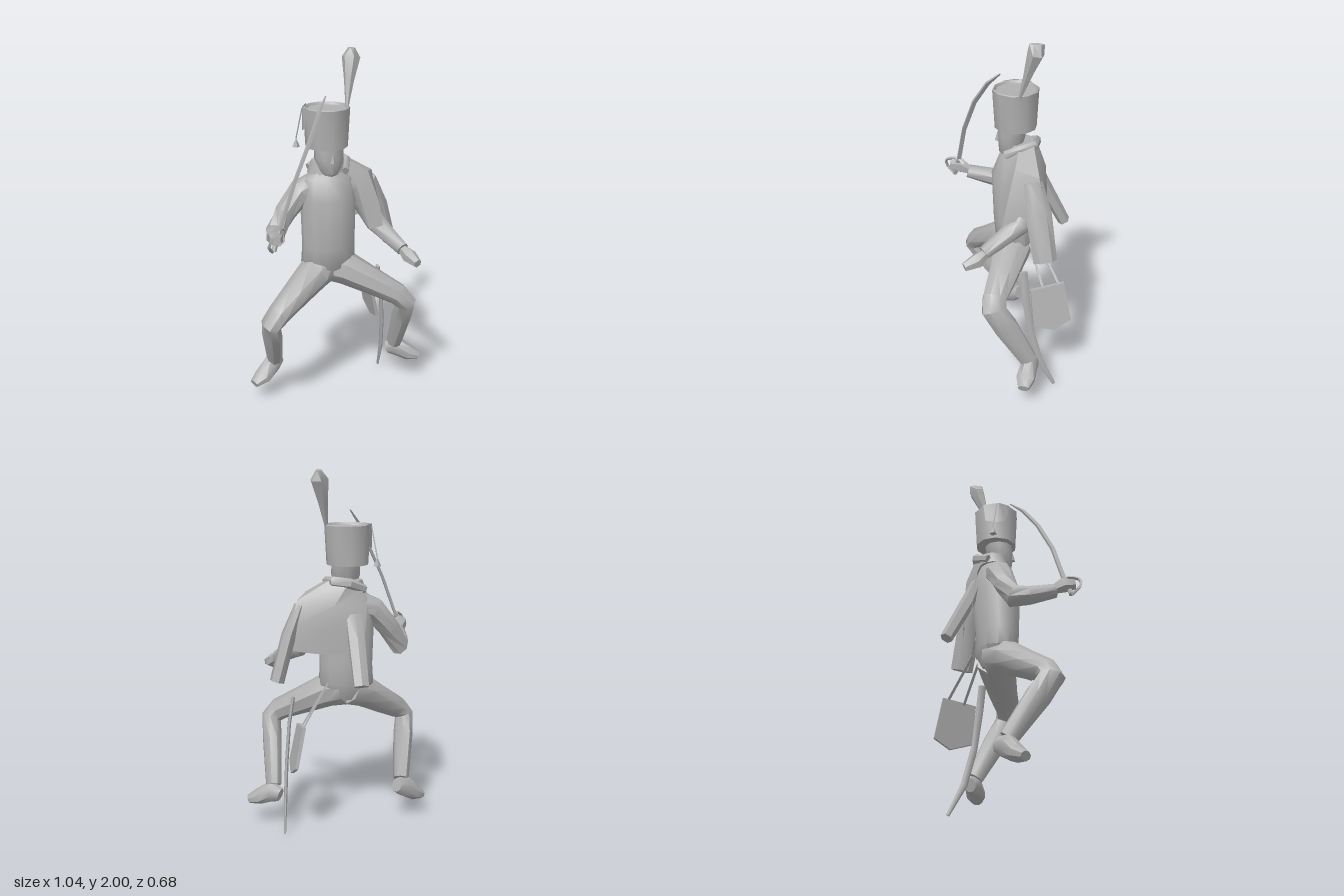
import * as THREE from 'three';
import { toCreasedNormals } from 'three/addons/utils/BufferGeometryUtils.js';

const cloth = new THREE.MeshStandardMaterial({ color: 0xb0b0b0, side: THREE.DoubleSide });
cloth.name = 'plain grey';
const V = (a) => new THREE.Vector3(a[0], a[1], a[2]);
const Z = [0, 0, 1], Y = [0, 1, 0];

export function createModel() {
  const model = new THREE.Group();

  function add(name, geometry, crease = 0.8) {
    const mesh = new THREE.Mesh(toCreasedNormals(geometry, crease), cloth);
    mesh.name = name;
    model.add(mesh);
    return mesh;
  }

  function build(verts, index) {
    const g = new THREE.BufferGeometry();
    g.setAttribute('position', new THREE.Float32BufferAttribute(verts, 3));
    g.setIndex(index);
    return g;
  }

  // Closed limb through rings [x, y, z, radiusA, radiusB], set square to the path
  function limb(name, rings, n = 8, ref = Z, crease = 0.8) {
    const c = rings.map(V), verts = [], index = [], r = V(ref);
    rings.forEach(([, , , a, b], i) => {
      const t = new THREE.Vector3();
      if (i > 0) t.add(c[i].clone().sub(c[i - 1]).normalize());
      if (i < c.length - 1) t.add(c[i + 1].clone().sub(c[i]).normalize());
      t.normalize();
      const u = r.clone().cross(t).normalize(), v = t.clone().cross(u);
      for (let j = 0; j < n; j++) {
        const k = ((j + 0.5) / n) * Math.PI * 2;
        const p = c[i].clone().addScaledVector(u, a * Math.cos(k)).addScaledVector(v, b * Math.sin(k));
        verts.push(p.x, p.y, p.z);
      }
    });
    for (let i = 0; i < c.length - 1; i++) for (let j = 0; j < n; j++) {
      const a = i * n + j, b = i * n + (j + 1) % n;
      index.push(a, b, a + n, b, b + n, a + n);
    }
    const last = (c.length - 1) * n;
    for (let j = 1; j < n - 1; j++) index.push(0, j + 1, j, last, last + j, last + j + 1);
    return add(name, build(verts, index), crease);
  }

  // Open sheet through rows of points
  function sheet(name, rows, crease = 0.6) {
    const m = rows[0].length, index = [];
    for (let i = 0; i < rows.length - 1; i++) for (let j = 0; j < m - 1; j++) {
      const a = i * m + j;
      index.push(a, a + m, a + 1, a + 1, a + m, a + m + 1);
    }
    return add(name, build(rows.flat(2), index), crease);
  }

  // Torso, neck and head
  limb('torso', [
    [-0.05, 0.73, -0.03, 0.07, 0.06], [-0.05, 0.82, -0.02, 0.155, 0.115], [-0.05, 0.93, -0.01, 0.15, 0.115],
    [-0.05, 1.2, -0.02, 0.155, 0.135], [-0.05, 1.31, -0.03, 0.14, 0.1], [-0.05, 1.37, -0.04, 0.07, 0.065],
  ], 12);
  limb('collar', [[-0.05, 1.34, -0.04, 0.11, 0.09], [-0.05, 1.41, -0.04, 0.085, 0.08]], 10);
  limb('head', [
    [-0.05, 1.33, -0.02, 0.05, 0.05], [-0.05, 1.37, 0.01, 0.06, 0.065],
    [-0.05, 1.43, 0.005, 0.08, 0.075], [-0.05, 1.51, -0.005, 0.08, 0.08],
  ], 10);
  const nose = add('nose', new THREE.ConeGeometry(0.016, 0.055, 4), 0.2);
  nose.position.set(-0.05, 1.445, 0.08);

  // Tall hat with recessed crown
  const hat = add('hat', new THREE.LatheGeometry([
    [0, 0], [0.115, 0], [0.127, 0.215], [0.12, 0.22], [0.112, 0.205], [0, 0.2],
  ].map(([x, y]) => new THREE.Vector2(x, y)), 10), 0.7);
  hat.position.set(-0.055, 1.49, -0.02);
  limb('plume', [
    [0.06, 1.69, -0.02, 0.008, 0.008], [0.085, 1.83, -0.06, 0.028, 0.024],
    [0.108, 1.95, -0.095, 0.052, 0.045], [0.112, 2.0, -0.1, 0.014, 0.04],
  ], 6, Z, 0.5);
  sheet('hatFlap', [
    [[-0.17, 1.71, 0.03], [-0.186, 1.71, -0.04], [-0.14, 1.71, -0.12]],
    [[-0.182, 1.6, 0.0], [-0.185, 1.58, -0.05], [-0.15, 1.6, -0.11]],
  ]);
  limb('tasselCord', [[-0.183, 1.7, -0.05, 0.004, 0.004], [-0.21, 1.53, -0.08, 0.004, 0.004]], 4);
  const tassel = add('tassel', new THREE.ConeGeometry(0.022, 0.05, 4), 0.2);
  tassel.position.set(-0.21, 1.508, -0.08);

  // Legs and boots
  limb('rightLeg', [
    [-0.06, 0.8, -0.03, 0.1, 0.1], [-0.15, 0.765, 0.02, 0.095, 0.105], [-0.28, 0.68, 0.09, 0.077, 0.085],
    [-0.39, 0.61, 0.155, 0.064, 0.07], [-0.435, 0.56, 0.165, 0.056, 0.072],
    [-0.415, 0.46, 0.1, 0.055, 0.07], [-0.37, 0.24, -0.045, 0.045, 0.05],
  ], 8);
  limb('leftLeg', [
    [-0.04, 0.8, -0.03, 0.1, 0.1], [0.05, 0.775, 0.02, 0.095, 0.105], [0.19, 0.7, 0.09, 0.077, 0.085],
    [0.31, 0.635, 0.155, 0.064, 0.07], [0.355, 0.585, 0.165, 0.058, 0.072],
    [0.36, 0.47, 0.1, 0.055, 0.07], [0.368, 0.24, -0.025, 0.045, 0.05],
  ], 8);
  limb('rightBoot', [
    [-0.335, 0.215, -0.09, 0.035, 0.04], [-0.385, 0.195, -0.055, 0.05, 0.062],
    [-0.45, 0.14, -0.025, 0.055, 0.045], [-0.505, 0.115, 0.0, 0.032, 0.025],
  ], 8, Y);
  limb('leftBoot', [
    [0.335, 0.19, -0.06, 0.035, 0.04], [0.38, 0.205, -0.03, 0.048, 0.062],
    [0.45, 0.165, 0.005, 0.055, 0.045], [0.505, 0.145, 0.025, 0.032, 0.025],
  ], 8, Y);

  // Arms and hands
  limb('rightArm', [
    [-0.13, 1.27, -0.04, 0.07, 0.07], [-0.2, 1.24, -0.04, 0.075, 0.07], [-0.29, 1.13, -0.035, 0.062, 0.06],
    [-0.355, 1.03, -0.01, 0.055, 0.062], [-0.375, 1.035, 0.07, 0.052, 0.05], [-0.4, 1.07, 0.21, 0.038, 0.038],
  ], 8, Y);
  limb('rightHand', [
    [-0.4, 1.075, 0.2, 0.026, 0.026], [-0.42, 1.1, 0.25, 0.045, 0.045], [-0.435, 1.105, 0.31, 0.03, 0.03],
  ], 6, Y);
  limb('leftArm', [
    [0.05, 1.27, -0.04, 0.07, 0.07], [0.11, 1.23, -0.04, 0.07, 0.07], [0.17, 1.13, -0.03, 0.06, 0.06],
    [0.225, 1.03, 0.0, 0.055, 0.06], [0.25, 1.0, 0.07, 0.052, 0.05], [0.31, 0.93, 0.21, 0.038, 0.038],
  ], 8, Y);
  limb('leftHand', [
    [0.31, 0.93, 0.2, 0.026, 0.026], [0.335, 0.9, 0.25, 0.042, 0.042], [0.355, 0.88, 0.32, 0.025, 0.025],
  ], 6, Y);

  // Sabre: curved blade, grip and hand guard
  limb('sabreBlade', [
    [-0.405, 1.13, 0.265, 0.01, 0.016], [-0.31, 1.38, 0.235, 0.01, 0.016], [-0.21, 1.58, 0.185, 0.01, 0.016],
    [-0.14, 1.71, 0.12, 0.009, 0.015], [-0.085, 1.78, 0.06, 0.004, 0.005],
  ], 4);
  limb('sabreGrip', [[-0.44, 1.04, 0.285, 0.014, 0.014], [-0.4, 1.15, 0.265, 0.014, 0.014]], 6);
  const guard = new THREE.CatmullRomCurve3([
    [-0.37, 1.135, 0.24], [-0.405, 1.155, 0.275], [-0.45, 1.13, 0.33], [-0.475, 1.08, 0.325], [-0.445, 1.035, 0.285],
  ].map(V));
  add('sabreGuard', new THREE.TubeGeometry(guard, 8, 0.009, 4), 0.6);

  // Scabbard hanging behind the left leg
  limb('scabbard', [
    [0.25, 0.75, -0.015, 0.01, 0.022], [0.275, 0.6, -0.025, 0.01, 0.022], [0.295, 0.38, -0.05, 0.01, 0.02],
    [0.31, 0.18, -0.1, 0.01, 0.02], [0.325, 0.01, -0.185, 0.006, 0.01],
  ], 6);

  // Flat pouch on two straps
  const pouch = new THREE.Shape([[0.06, 0.61], [0.25, 0.64], [0.285, 0.42], [0.19, 0.365], [0.07, 0.4]]
    .map(([x, y]) => new THREE.Vector2(x, y)));
  const pouchGeo = new THREE.ExtrudeGeometry(pouch, { depth: 0.02, bevelEnabled: false });
  pouchGeo.rotateY(Math.PI / 2);
  const p = pouchGeo.attributes.position;
  for (let i = 0; i < p.count; i++) p.setX(i, p.getX(i) + 0.215 + (0.62 - p.getY(i)) * 0.22);
  pouchGeo.deleteAttribute('normal');
  pouchGeo.computeVertexNormals();
  add('pouch', pouchGeo, 0.4);
  [[0.07, 0.83, -0.08, 0.22, 0.61, -0.13], [0.07, 0.85, -0.12, 0.22, 0.63, -0.22]].forEach(([a, b, c, d, e, f]) =>
    limb('pouchStrap', [[a, b, c, 0.004, 0.01], [d, e, f, 0.004, 0.01]], 4));

  // Short jacket slung over the left shoulder
  sheet('slungJacket', [
    [[0.02, 1.37, 0.04], [0.06, 1.41, -0.02], [0.05, 1.42, -0.1], [-0.04, 1.4, -0.135], [-0.12, 1.37, -0.11]],
    [[0.085, 1.29, 0.065], [0.17, 1.34, 0.02], [0.235, 1.31, -0.1], [0.04, 1.29, -0.17], [-0.14, 1.27, -0.15]],
    [[0.12, 1.15, 0.09], [0.22, 1.17, 0.07], [0.27, 1.17, -0.12], [0.06, 1.17, -0.175], [-0.13, 1.15, -0.165]],
    [[0.15, 1.03, 0.11], [0.235, 1.04, 0.1], [0.285, 1.04, -0.12], [0.08, 1.02, -0.175], [-0.1, 1.03, -0.17]],
  ]);
  limb('jacketCollar', [
    [0.03, 1.36, 0.05, 0.018, 0.026], [0.065, 1.4, -0.03, 0.02, 0.028], [0.04, 1.41, -0.11, 0.02, 0.028],
    [-0.05, 1.4, -0.14, 0.02, 0.028], [-0.14, 1.36, -0.09, 0.018, 0.024],
  ], 6, Y);
  limb('jacketLeftSleeve', [
    [0.215, 1.28, -0.07, 0.03, 0.05], [0.28, 1.12, -0.09, 0.04, 0.07], [0.35, 0.87, -0.115, 0.04, 0.065],
  ], 6);
  limb('jacketBackSleeve', [
    [-0.07, 1.23, -0.14, 0.05, 0.03], [-0.075, 1.1, -0.19, 0.05, 0.04], [-0.08, 0.87, -0.305, 0.045, 0.035],
  ], 6);
  return model;
}
